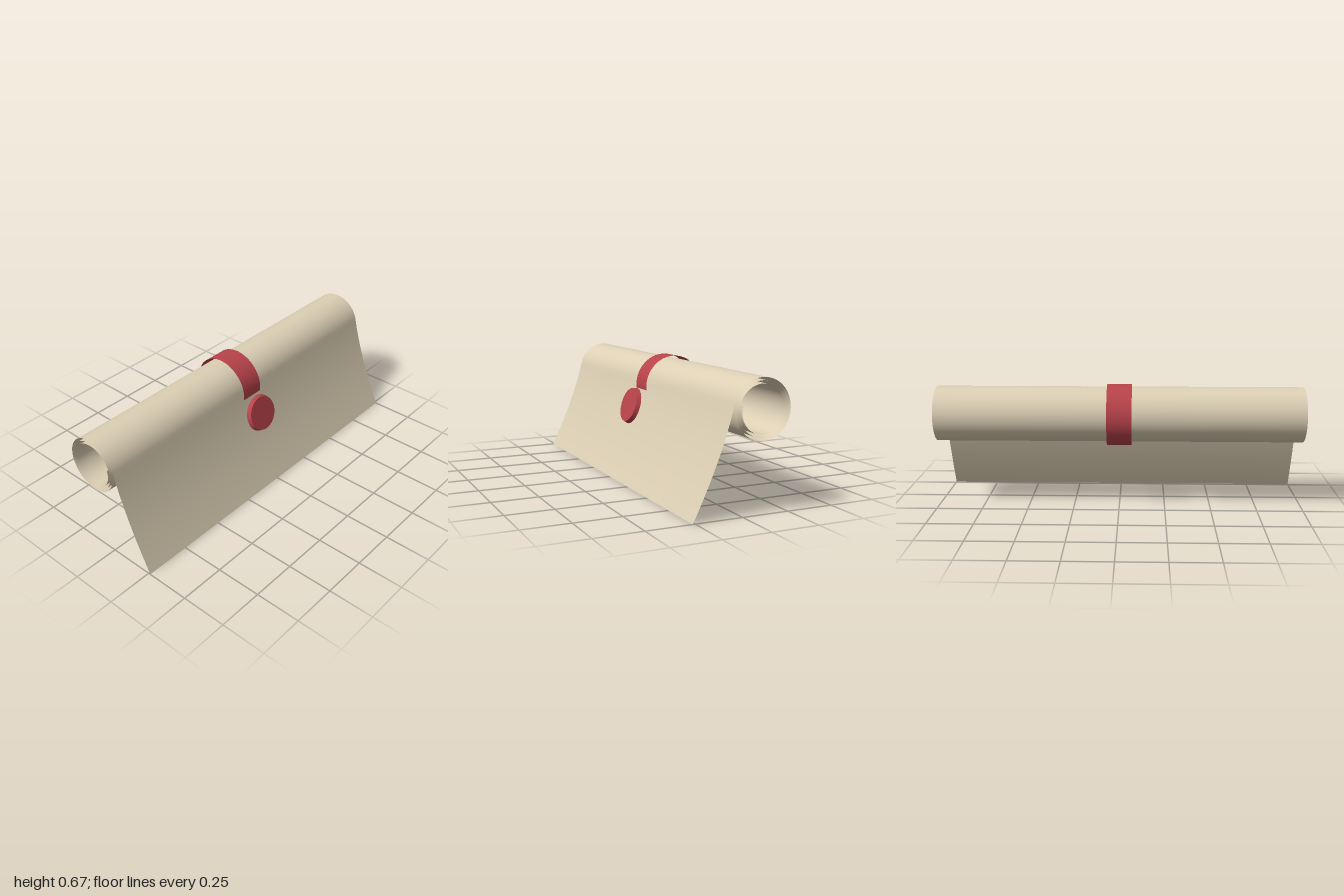
import * as THREE from 'three';

const CENTER_Y = 0.5, CENTER_Z = -0.1;

// Sweeps a (z, y) profile along x into a thin open surface
function sweep(profile, width) {
  const geo = new THREE.PlaneGeometry(width, 1, 1, profile.length - 1);
  const pos = geo.attributes.position;
  for (let i = 0; i < pos.count; i++) {
    const p = profile[Math.floor(i / 2)];
    pos.setY(i, p.y);
    pos.setZ(i, p.x);
  }
  geo.computeVertexNormals();
  return geo;
}

function polar(radius, angle) {
  return new THREE.Vector2(CENTER_Z + radius * Math.cos(angle), CENTER_Y + radius * Math.sin(angle));
}

export function createModel() {
  const group = new THREE.Group();
  const parchment = new THREE.MeshStandardMaterial({ color: 0xdccfb4, side: THREE.DoubleSide });
  parchment.name = 'parchment';
  const red = new THREE.MeshStandardMaterial({ color: 0xb9434b, side: THREE.DoubleSide });
  red.name = 'red wax';

  const add = (name, geo, mat) => {
    const mesh = new THREE.Mesh(geo, mat);
    mesh.name = name;
    group.add(mesh);
    return mesh;
  };

  // Parchment: coiled roll that runs out into a flared hanging sheet
  const start = 0.24, turns = 3, steps = 144;
  const coil = [];
  for (let i = steps; i >= 0; i--) {
    const t = i / steps;
    coil.push(polar(0.157 - 0.045 * t, start + t * turns * Math.PI * 2));
  }
  const edge = coil[coil.length - 1];
  const flap = new THREE.QuadraticBezierCurve(
    edge, new THREE.Vector2(0.111, 0.3), new THREE.Vector2(0.262, 0)
  ).getPoints(16).slice(1);
  add('parchmentScroll', sweep([...coil, ...flap], 2), parchment);

  // Ribbon band around the roll
  const ring = [];
  for (let i = 0; i <= 64; i++) ring.push(polar(0.168, (i / 64) * Math.PI * 2));
  add('ribbonBand', sweep(ring, 0.135), red);

  // Tilted wax seal on the hanging sheet
  const seal = add('waxSeal', new THREE.CylinderGeometry(0.0945, 0.102, 0.024, 32), red);
  seal.rotation.x = 1.264;
  seal.position.set(0, 0.396, 0.135);

  return group;
}
